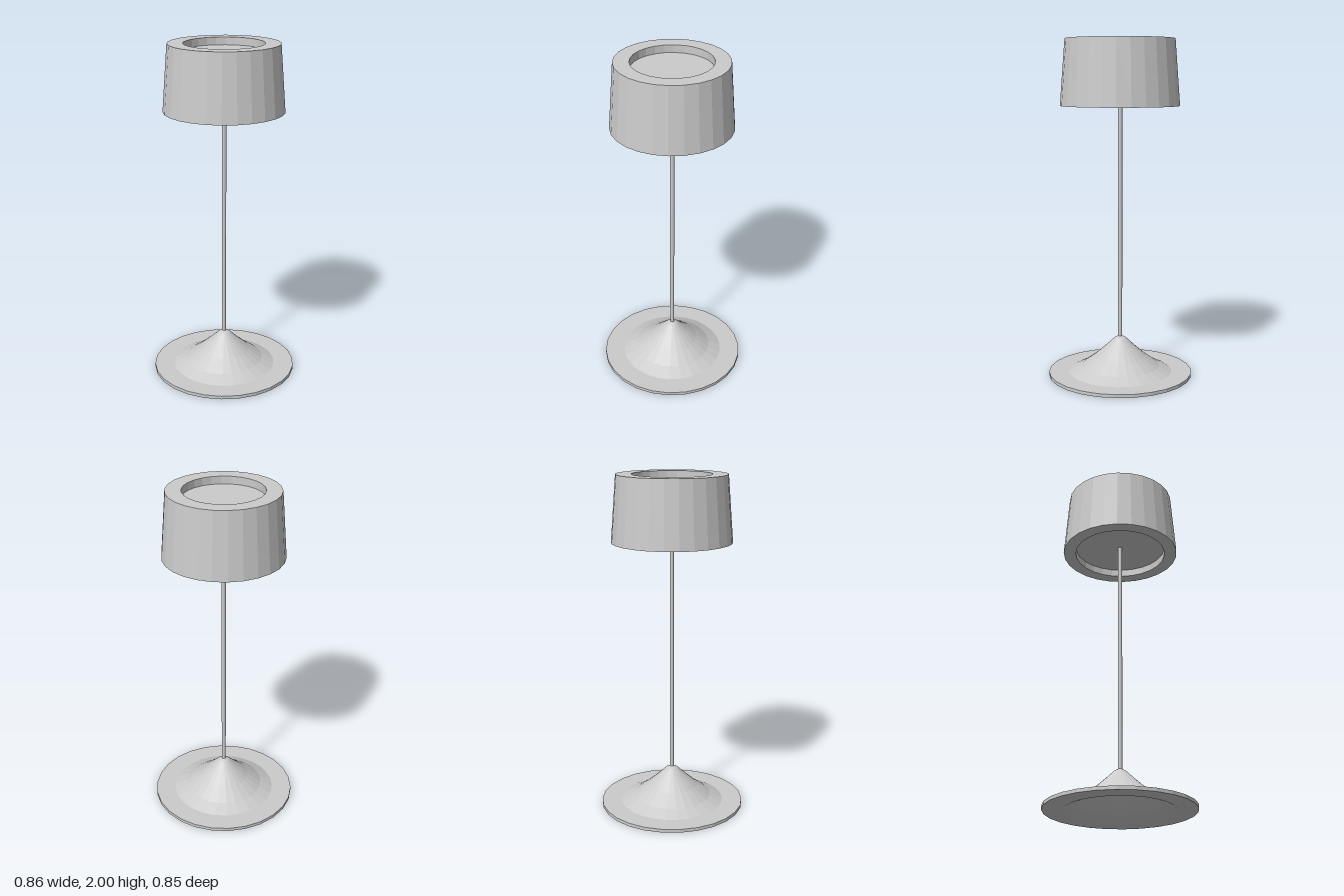
import * as THREE from 'three';

const SIDES = 26;
const material = new THREE.MeshStandardMaterial({ color: 0xcccccc, flatShading: true });

// Revolve a [radius, height] profile around the vertical axis
function revolve(name, profile, sides = SIDES) {
  const points = profile.map(([r, y]) => new THREE.Vector2(r, y));
  const mesh = new THREE.Mesh(new THREE.LatheGeometry(points, sides, Math.PI / 2), material);
  mesh.name = name;
  return mesh;
}

export function createModel() {
  const lamp = new THREE.Group();
  lamp.name = 'tableLamp';

  // Thin disc rising into a flared cone, hollow underneath
  const rim = 0.02;
  const flare = [[0.31, 0], [0.235, 0.035], [0.153, 0.095], [0.085, 0.155], [0.035, 0.203], [0.012, 0.215], [0, 0.215]];
  lamp.add(revolve('base', [
    ...[...flare].reverse(),
    [0.43, 0], [0.43, rim],
    ...flare.map(([r, y]) => [r, y + rim]),
  ]));

  // Slender pole from the cone tip into the shade
  const pole = new THREE.Mesh(new THREE.CylinderGeometry(0.0125, 0.0125, 1.44, 12), material);
  pole.position.y = 0.94;
  pole.name = 'pole';
  lamp.add(pole);

  // Tapered shade with a shallow recess at the top and bottom
  lamp.add(revolve('shade', [
    [0, 1.66], [0.275, 1.66], [0.275, 1.615], [0.35, 1.615],
    [0.32, 2], [0.23, 2], [0.23, 1.955], [0, 1.955],
  ]));

  return lamp;
}
